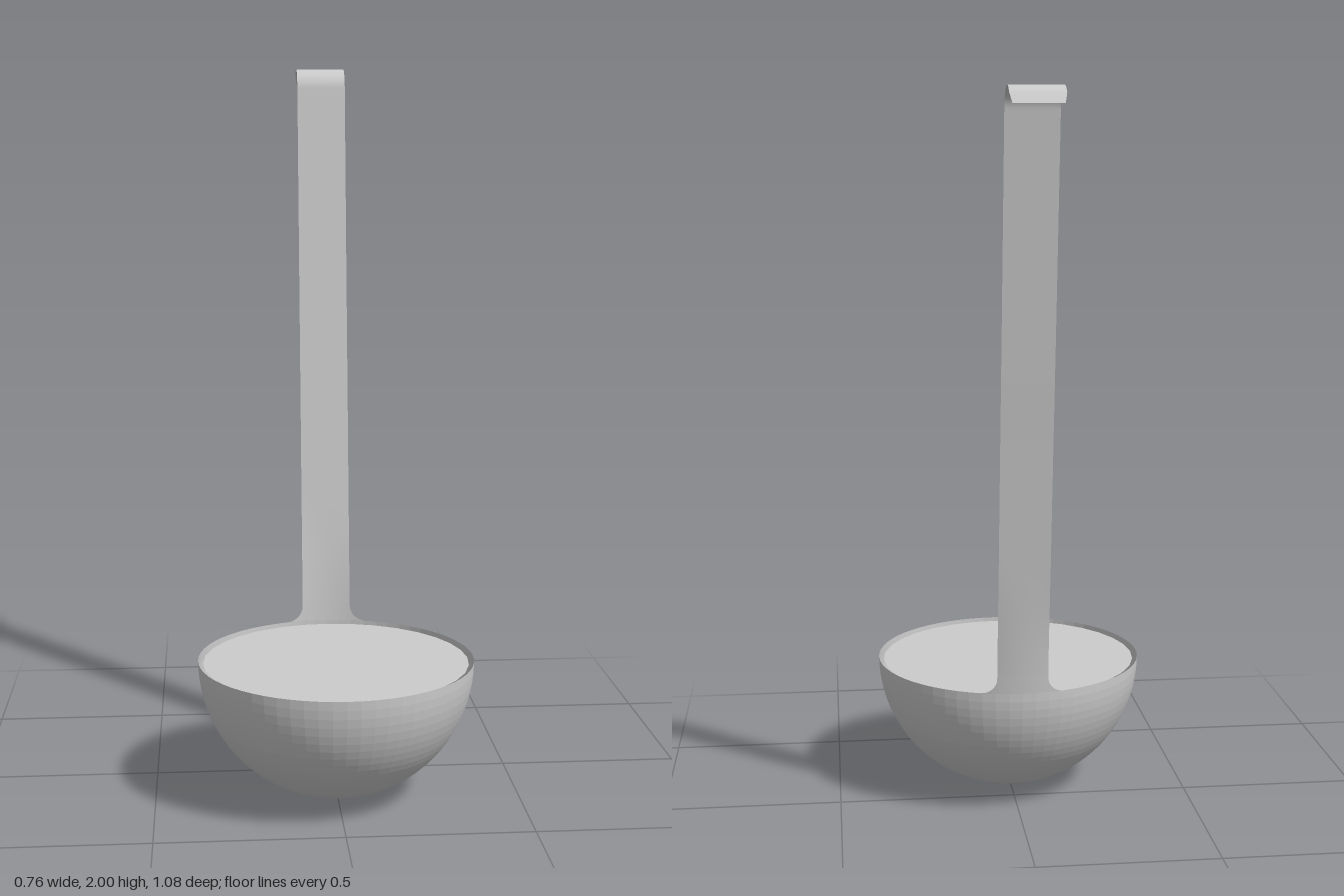
import * as THREE from 'three';

const R = 0.38, RIM_Y = 0.38, BOWL_Z = 0.16, HALF = 0.07, FILLET = 0.045;

// Strip built from cross-sections { y, z, w (half width), curl (how far it follows the bowl's curve) }
function stripGeometry(rows, cols) {
  const pos = [], index = [];
  rows.forEach(({ y, z, w, curl }, r) => {
    for (let c = 0; c <= cols; c++) {
      const x = w * (2 * c / cols - 1);
      pos.push(x, y, z + curl * (R - Math.sqrt(R * R - x * x)));
      if (r && c) {
        const b = r * (cols + 1) + c, a = b - cols - 1;
        index.push(a - 1, a, b, a - 1, b, b - 1);
      }
    }
  });
  const geo = new THREE.BufferGeometry();
  geo.setAttribute('position', new THREE.Float32BufferAttribute(pos, 3));
  geo.setIndex(index);
  geo.computeVertexNormals();
  return geo;
}

function handleRows() {
  const rows = [];
  const curlAt = y => 1 - THREE.MathUtils.smoothstep(y, 0.42, 0.8);
  // side profile as z over y: leaves the rim upright, then leans back
  const stem = new THREE.CatmullRomCurve3([
    [0.38, -0.22], [0.43, -0.224], [0.55, -0.236], [0.7, -0.254], [1, -0.292], [1.4, -0.345], [1.94, -0.412],
  ].map(([y, z]) => new THREE.Vector3(0, y, z)));
  // concave fillets that flow into the rim
  for (let i = 0; i < 8; i++) {
    const a = (1 - i / 8) * Math.PI / 2;
    const y = RIM_Y + FILLET * (1 - Math.sin(a));
    rows.push({ y, z: -0.22 - (y - RIM_Y) * 0.08, w: HALF + FILLET * (1 - Math.cos(a)), curl: 1 });
  }
  // long stem
  for (const p of stem.getPoints(60)) {
    if (p.y > RIM_Y + FILLET) rows.push({ y: p.y, z: p.z, w: HALF, curl: curlAt(p.y) });
  }
  // hook bending over to the back, with slightly clipped end corners
  for (let i = 1; i <= 20; i++) {
    const a = THREE.MathUtils.degToRad(-5 + i / 20 * 147);
    rows.push({ y: 1.936 + 0.064 * Math.sin(a), z: -0.476 + 0.064 * Math.cos(a), w: i === 20 ? HALF - 0.006 : HALF, curl: 0 });
  }
  rows[rows.length - 1].z = -0.54;
  rows[rows.length - 1].y = 1.955;
  return rows;
}

export function createModel() {
  const group = new THREE.Group();
  const metal = new THREE.MeshStandardMaterial({ color: 0xcccccc, side: THREE.DoubleSide });
  const facetedMetal = metal.clone();
  facetedMetal.flatShading = true;

  const add = (name, geometry, material, y = 0, z = 0) => {
    const mesh = new THREE.Mesh(geometry, material);
    mesh.name = name;
    mesh.position.set(0, y, z);
    group.add(mesh);
    return mesh;
  };

  // open half-sphere bowl
  add('bowl', new THREE.SphereGeometry(R, 64, 24, 0, Math.PI * 2, Math.PI / 2, Math.PI / 2), facetedMetal, RIM_Y, BOWL_Z);

  // liquid surface just below the rim
  add('liquid', new THREE.CircleGeometry(0.366, 32).rotateX(-Math.PI / 2), metal, RIM_Y - 0.008, BOWL_Z);

  // flat handle with hook
  add('handle', stripGeometry(handleRows(), 12), metal);

  return group;
}
